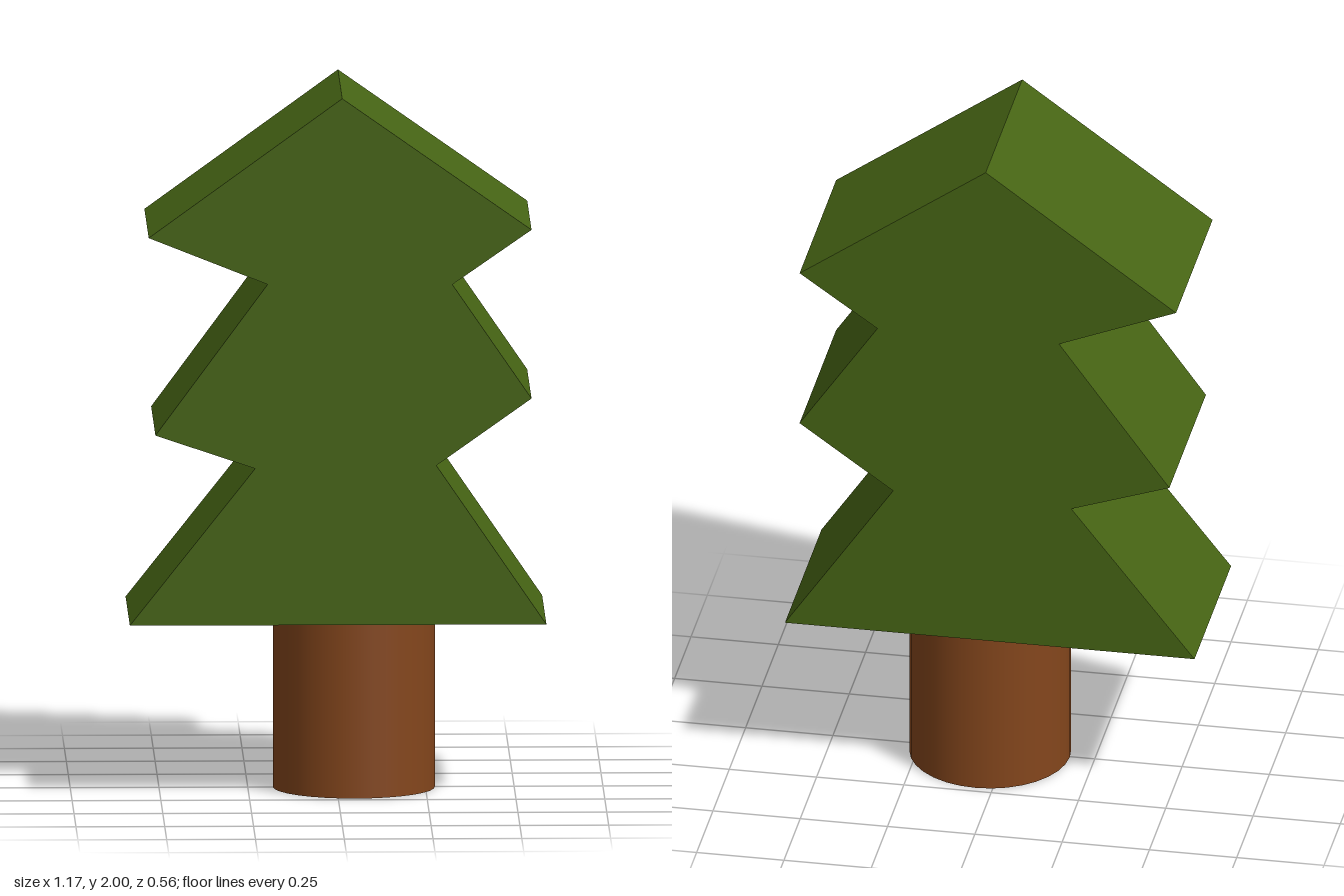
import * as THREE from 'three';

// Half outlines from base to tip, slightly uneven left to right
const OUTLINE = [
  [-0.588, 0.502], [0.585, 0.502], [0.275, 0.955], [0.543, 1.145], [0.32, 1.47], [0.543, 1.625],
  [0.01, 2], [-0.535, 1.605], [-0.2, 1.472], [-0.516, 1.043], [-0.235, 0.948],
];
const DEPTH = 0.56;
const TRUNK_RADIUS = 0.228;
const TRUNK_HEIGHT = 1.0;

export function createModel() {
  const tree = new THREE.Group();
  tree.name = 'tree';

  // Foliage: a flat three-tier silhouette with straight sides
  const shape = new THREE.Shape(OUTLINE.map(([x, y]) => new THREE.Vector2(x, y)));
  const foliageGeometry = new THREE.ExtrudeGeometry(shape, { depth: DEPTH, bevelEnabled: false });
  foliageGeometry.translate(0, 0, -DEPTH / 2);
  const foliage = new THREE.Mesh(
    foliageGeometry,
    new THREE.MeshStandardMaterial({ color: 0x466414 }),
  );
  foliage.name = 'foliage';
  tree.add(foliage);

  // Trunk: a round post, a little off centre, running up inside the foliage
  const trunk = new THREE.Mesh(
    new THREE.CylinderGeometry(TRUNK_RADIUS, TRUNK_RADIUS, TRUNK_HEIGHT, 32),
    new THREE.MeshStandardMaterial({ color: 0x84461c }),
  );
  trunk.name = 'trunk';
  trunk.position.set(0.049, TRUNK_HEIGHT / 2, -0.002);
  tree.add(trunk);

  return tree;
}
